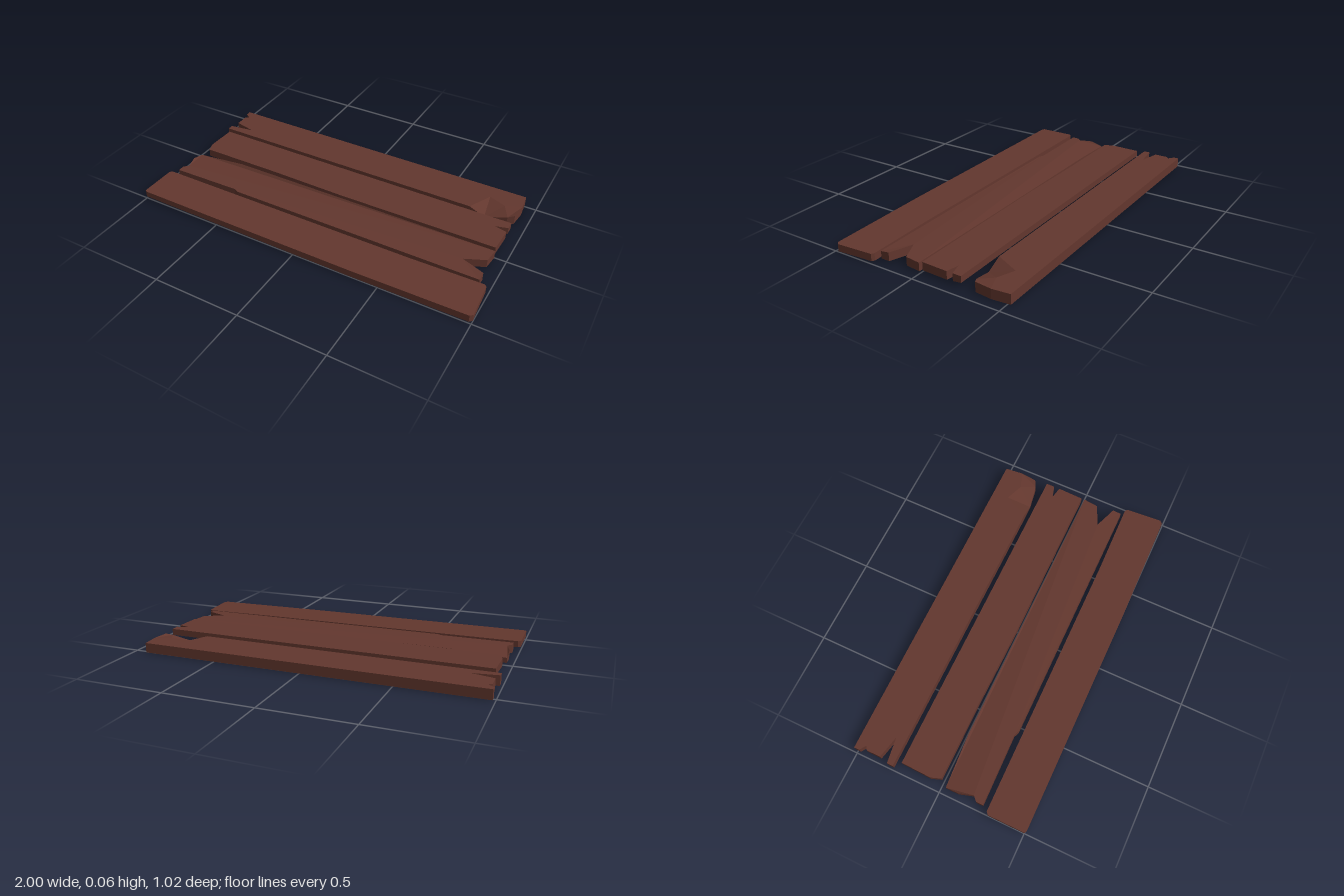
import * as THREE from 'three';

const wood = new THREE.MeshStandardMaterial({ color: 0x63372e });
wood.name = 'darkWood';

// Flat-shaded slab pieces: outlines are [x, z, topDrop] points,
// bottom and top give the heights at (x, z)
function plank(name, outlines, bottom, top) {
  const pos = [];
  const tri = (a, b, c) => pos.push(...a, ...b, ...c);
  for (const outline of outlines) {
    const contour = outline.map(([x, z]) => new THREE.Vector2(x, z));
    let pts = outline;
    if (THREE.ShapeUtils.isClockWise(contour)) {
      contour.reverse();
      pts = [...outline].reverse();
    }
    const lo = pts.map(([x, z]) => [x, bottom(x, z), z]);
    const hi = pts.map(([x, z, drop = 0]) => [x, top(x, z) - drop, z]);
    // Top and underside
    for (const [i, j, k] of THREE.ShapeUtils.triangulateShape(contour, [])) {
      const area = THREE.ShapeUtils.area([contour[i], contour[j], contour[k]]);
      const [b, c] = area > 0 ? [j, k] : [k, j];
      tri(lo[i], lo[b], lo[c]);
      tri(hi[i], hi[c], hi[b]);
    }
    // Edge walls
    pts.forEach((_, i) => {
      const j = (i + 1) % pts.length;
      tri(lo[i], hi[i], hi[j]);
      tri(lo[i], hi[j], lo[j]);
    });
  }
  const geometry = new THREE.BufferGeometry();
  geometry.setAttribute('position', new THREE.Float32BufferAttribute(pos, 3));
  geometry.computeVertexNormals();
  const mesh = new THREE.Mesh(geometry, wood);
  mesh.name = name;
  return mesh;
}

export function createModel() {
  const group = new THREE.Group();
  group.name = 'plankFloor';

  // Front plank: whole, tilted along its length
  group.add(plank('frontPlank', [[
    [-1, 0.29], [-1, 0.5], [-0.985, 0.508], [0.35, 0.506], [0.985, 0.495], [1, 0.48],
    [0.985, 0.27], [0.97, 0.26], [0.56, 0.27], [-0.985, 0.277],
  ]], (x) => 0.012 - 0.008 * x, (x) => 0.05 - 0.005 * x));

  // Second plank: split right end, worn left corner
  group.add(plank('middleFrontPlank', [[
    [-0.965, 0.025, 0.02], [-0.67, 0.01], [0.935, 0.008], [0.925, 0.095], [0.81, 0.147],
    [0.94, 0.195], [0.94, 0.245, 0.006], [-0.53, 0.25], [-0.56, 0.237], [-0.965, 0.245],
    [-0.965, 0.205], [-0.94, 0.18], [-0.965, 0.1],
  ]], () => 0.006, () => 0.054));

  // Third plank: small split, underside rising toward the back
  group.add(plank('middleBackPlank', [[
    [-0.95, -0.243], [0.935, -0.243], [0.935, -0.195], [0.865, -0.175], [0.935, -0.16],
    [0.93, -0.01], [0, -0.005], [-0.45, -0.013], [-0.935, -0.013], [-0.955, -0.07],
  ]], (x, z) => 0.015 + Math.max(0, -z - 0.16) * 0.12, () => 0.061));

  // Back plank: broken left end, V-shaped dent at the inner right corner
  const dent = [0.77, -0.28, 0.042];
  const rim = [[0.68, -0.279], [0.75, -0.42], [0.85, -0.38], [0.895, -0.3, 0.01]];
  group.add(plank('backPlank', [
    [
      [-0.985, -0.515], [0.93, -0.515], [0.94, -0.415], [0.93, -0.32],
      ...[...rim].reverse(),
      [-0.985, -0.28], [-0.985, -0.315], [-0.84, -0.335], [-0.97, -0.365],
      [-0.97, -0.445], [-0.95, -0.46], [-0.985, -0.485],
    ],
    ...[0, 1, 2].map((i) => [dent, rim[i], rim[i + 1]]),
  ], () => 0, () => 0.055));

  return group;
}
